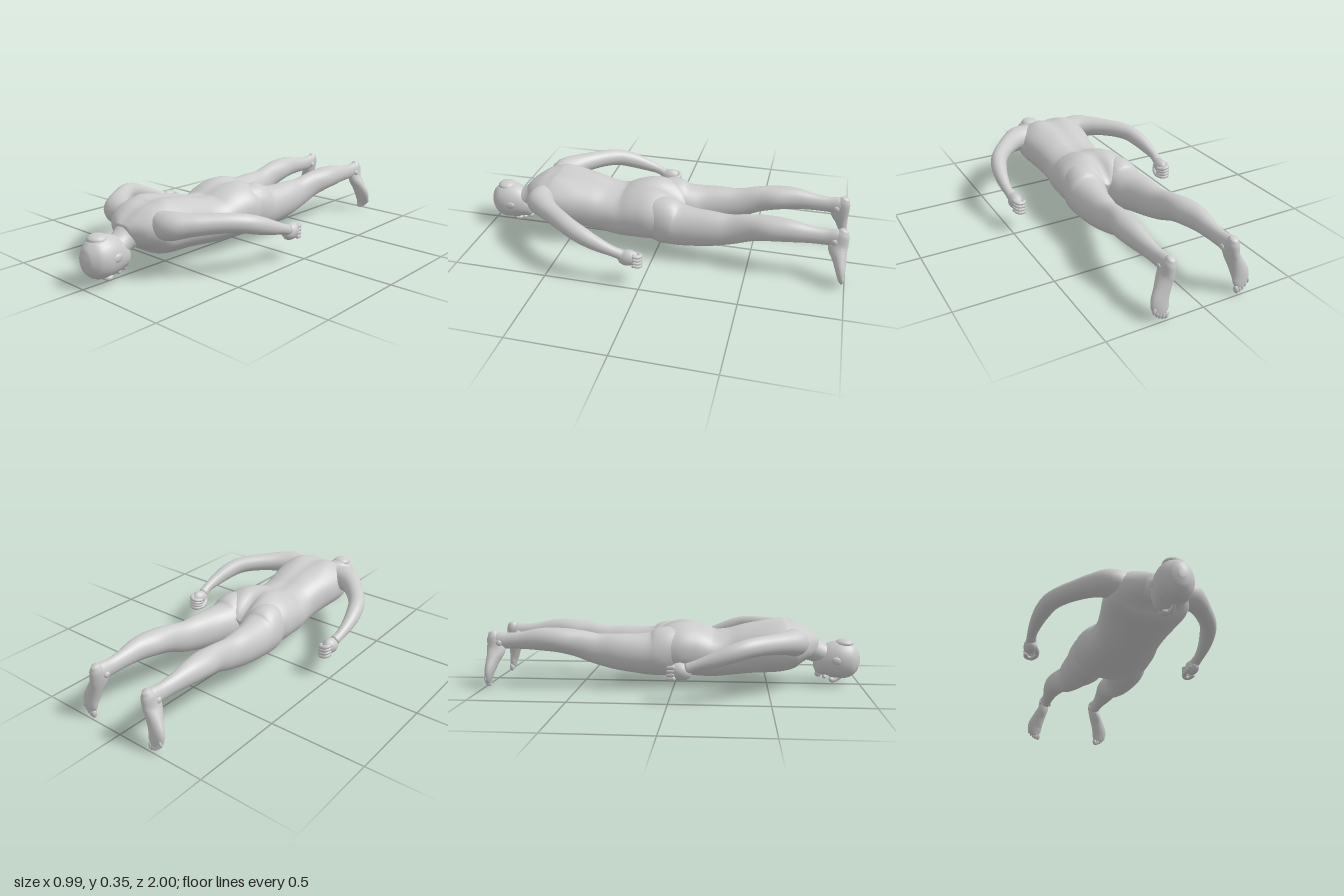
import * as THREE from 'three';

const skin = new THREE.MeshStandardMaterial({ color: 0xcccccc });

// Smooth closed loft through rows of [x, y, z, halfWidth, halfDepth]; side mirrors x.
function loft(name, rows, { side = 1, ref = [0, 1, 0], square = 1, sculpt, seg = 28, sub = 4 } = {}) {
  const path = new THREE.CatmullRomCurve3(rows.map(r => new THREE.Vector3(r[0] * side, r[1], r[2])));
  const radii = new THREE.CatmullRomCurve3(rows.map(r => new THREE.Vector3(r[3], r[4], 0)), false, 'catmullrom', 0.5);
  const n = (rows.length - 1) * sub, up = new THREE.Vector3(...ref);
  const pos = [], idx = [];
  const soft = v => Math.sign(v) * Math.abs(v) ** square;
  for (let k = -1; k <= n + 1; k++) {
    const t = Math.min(Math.max(k / n, 0), 1);
    const c = path.getPoint(t), r = radii.getPoint(t), T = path.getTangent(t);
    if (k < 0 || k > n) r.set(0, 0, 0); // closing cap
    const U = up.clone().cross(T).normalize(), V = T.clone().cross(U);
    for (let j = 0; j < seg; j++) {
      const a = j / seg * Math.PI * 2;
      const p = c.clone().addScaledVector(U, soft(Math.cos(a)) * r.x).addScaledVector(V, soft(Math.sin(a)) * r.y);
      if (sculpt) sculpt(p, c);
      pos.push(p.x, p.y, p.z);
    }
  }
  for (let i = 0; i < n + 2; i++) for (let j = 0; j < seg; j++) {
    const a = i * seg + j, b = i * seg + (j + 1) % seg;
    idx.push(a, b, a + seg, b, b + seg, a + seg);
  }
  const g = new THREE.BufferGeometry();
  g.setAttribute('position', new THREE.Float32BufferAttribute(pos, 3));
  g.setIndex(idx);
  g.computeVertexNormals();
  const m = new THREE.Mesh(g, skin);
  m.name = name;
  return m;
}

function blob(name, p, r, rot = [0, 0, 0]) {
  const m = new THREE.Mesh(new THREE.SphereGeometry(1, 18, 12), skin);
  m.name = name;
  m.position.set(...p);
  m.scale.set(...r);
  m.rotation.set(...rot);
  return m;
}

const bump = (d, w) => Math.exp(-((d / w) ** 2));

// Spine furrow, shoulder blades, cleft of the seat, chest and navel line
function sculptTorso(p, c) {
  const back = THREE.MathUtils.smoothstep(p.y - c.y, 0, 0.08);
  const front = THREE.MathUtils.smoothstep(c.y - p.y, 0, 0.08);
  const ax = Math.abs(p.x);
  p.y -= back * bump(ax, 0.03) * (0.008 + 0.035 * bump(p.z + 0.06, 0.09));
  p.y += back * bump(ax - 0.095, 0.05) * (0.012 * bump(p.z - 0.57, 0.09) + 0.006 * bump(p.z - 0.04, 0.09));
  p.y -= front * bump(ax - 0.08, 0.06) * 0.01 * bump(p.z - 0.52, 0.07);
  p.y += front * bump(ax, 0.02) * 0.006 * bump(p.z - 0.4, 0.2);
}

function buildHead() {
  const head = new THREE.Group();
  head.name = 'head';
  head.add(loft('skull', [
    [0.01, 0.135, 0.998, 0.015, 0.02], [0.01, 0.135, 0.985, 0.045, 0.06], [0.01, 0.135, 0.95, 0.078, 0.092],
    [0.01, 0.135, 0.9, 0.09, 0.105], [0.01, 0.128, 0.85, 0.084, 0.1], [0.01, 0.108, 0.8, 0.068, 0.077],
    [0.01, 0.085, 0.768, 0.045, 0.042], [0.01, 0.08, 0.757, 0.02, 0.018]], {
    // eye sockets and mouth crease on the downward face
    sculpt: (p, c) => {
      const f = THREE.MathUtils.smoothstep(c.y - p.y, 0.03, 0.08), x = Math.abs(p.x - 0.01);
      p.y += f * (0.014 * bump(x - 0.034, 0.02) * bump(p.z - 0.885, 0.018) + 0.006 * bump(x, 0.03) * bump(p.z - 0.81, 0.009));
    },
    sub: 6
  }));
  head.add(loft('nose', [
    [0.01, 0.04, 0.905, 0.007, 0.008], [0.01, 0.027, 0.88, 0.01, 0.012],
    [0.01, 0.019, 0.855, 0.016, 0.014], [0.01, 0.03, 0.843, 0.012, 0.01]], { seg: 14 }));
  head.add(blob('lips', [0.01, 0.04, 0.812], [0.026, 0.012, 0.011]));
  head.add(blob('chin', [0.01, 0.055, 0.778], [0.026, 0.018, 0.018]));
  head.add(blob('hairTuft', [0.005, 0.225, 0.91], [0.05, 0.025, 0.05]));
  for (const s of [1, -1])
    head.add(blob('ear', [0.01 + s * 0.084, 0.14, 0.865], [0.009, 0.02, 0.028], [0.3, 0, 0]));
  return head;
}

function buildArm(s) {
  const arm = new THREE.Group();
  arm.name = s > 0 ? 'leftArm' : 'rightArm';
  arm.add(loft('armLimb', [
    [0.1, 0.245, 0.63, 0.06, 0.07], [0.19, 0.257, 0.625, 0.075, 0.07], [0.26, 0.265, 0.575, 0.06, 0.058],
    [0.32, 0.268, 0.51, 0.05, 0.051], [0.38, 0.268, 0.435, 0.046, 0.048], [0.422, 0.26, 0.37, 0.044, 0.047],
    [0.447, 0.24, 0.3, 0.041, 0.045], [0.462, 0.213, 0.22, 0.033, 0.037], [0.466, 0.187, 0.14, 0.025, 0.027],
    [0.46, 0.168, 0.09, 0.027, 0.028]], { side: s }));
  // Loosely closed fist
  arm.add(blob('palm', [s * 0.457, 0.155, 0.062], [0.036, 0.042, 0.055], [0.25, 0, 0]));
  for (let i = 0; i < 4; i++)
    arm.add(loft('finger', [
      [0.477, 0.178 - i * 0.018, 0.035, 0.011, 0.011], [0.465, 0.172 - i * 0.018, 0.005, 0.013, 0.011],
      [0.438, 0.165 - i * 0.017, 0.004, 0.012, 0.011], [0.422, 0.16 - i * 0.015, 0.03, 0.011, 0.01],
      [0.43, 0.157 - i * 0.015, 0.05, 0.007, 0.007]], { side: s, seg: 10 }));
  arm.add(loft('thumb', [
    [0.445, 0.15, 0.095, 0.014, 0.014], [0.425, 0.13, 0.07, 0.014, 0.013],
    [0.42, 0.116, 0.035, 0.012, 0.011], [0.425, 0.114, 0.018, 0.006, 0.006]], { side: s, seg: 10 }));
  return arm;
}

function buildLeg(s) {
  const leg = new THREE.Group();
  leg.name = s > 0 ? 'leftLeg' : 'rightLeg';
  leg.add(loft('legLimb', [
    [0.11, 0.195, 0.06, 0.08, 0.11], [0.112, 0.19, -0.04, 0.104, 0.132], [0.114, 0.177, -0.11, 0.108, 0.117],
    [0.13, 0.18, -0.2, 0.091, 0.105], [0.14, 0.19, -0.3, 0.077, 0.097], [0.145, 0.203, -0.4, 0.061, 0.083],
    [0.155, 0.232, -0.5, 0.056, 0.073], [0.165, 0.25, -0.6, 0.065, 0.066], [0.172, 0.255, -0.7, 0.053, 0.06],
    [0.17, 0.248, -0.8, 0.037, 0.047], [0.168, 0.244, -0.88, 0.03, 0.043], [0.168, 0.247, -0.94, 0.031, 0.045],
    [0.168, 0.25, -0.975, 0.022, 0.035]], { side: s }));
  // Foot hanging toes-down, sole to the rear
  leg.add(loft('foot', [
    [0.166, 0.295, -0.968, 0.016, 0.018], [0.168, 0.265, -0.958, 0.03, 0.038], [0.176, 0.205, -0.945, 0.033, 0.05],
    [0.2, 0.145, -0.959, 0.04, 0.035], [0.219, 0.09, -0.972, 0.046, 0.025], [0.217, 0.052, -0.979, 0.041, 0.018],
    [0.212, 0.03, -0.982, 0.028, 0.013]], { side: s, ref: [0, 0, 1] }));
  for (let i = 0; i < 5; i++)
    leg.add(blob('toe', [s * (0.193 + i * 0.015), 0.023 + i * i * 0.0022, -0.985],
      [0.013 - i * 0.001, 0.023 - i * 0.001, 0.013 - i * 0.001], [0, 0, s * 0.2]));
  for (const x of [0.138, 0.198])
    leg.add(blob('ankleBone', [s * x, 0.235, -0.925], [0.009, 0.016, 0.016]));
  return leg;
}

export function createModel() {
  const body = new THREE.Group();
  body.name = 'proneFigure';
  body.add(loft('torso', [
    [0, 0.215, 0.765, 0.055, 0.045], [0, 0.22, 0.72, 0.135, 0.075], [0, 0.222, 0.66, 0.19, 0.108],
    [0, 0.215, 0.6, 0.205, 0.13], [0, 0.21, 0.5, 0.197, 0.132], [0, 0.194, 0.4, 0.18, 0.132],
    [0, 0.175, 0.3, 0.172, 0.125], [0, 0.168, 0.2, 0.188, 0.127], [0, 0.187, 0.1, 0.204, 0.143],
    [0, 0.195, 0.02, 0.211, 0.142], [0, 0.182, -0.06, 0.19, 0.118], [0, 0.17, -0.11, 0.11, 0.08]],
  { square: 0.88, sculpt: sculptTorso, seg: 64, sub: 6 }));
  body.add(loft('neck', [
    [0.01, 0.145, 0.86, 0.058, 0.06], [0.008, 0.16, 0.81, 0.06, 0.056],
    [0.003, 0.182, 0.76, 0.066, 0.06], [0, 0.21, 0.7, 0.09, 0.075]]));
  body.add(buildHead());
  for (const s of [1, -1]) body.add(buildArm(s), buildLeg(s));
  return body;
}
